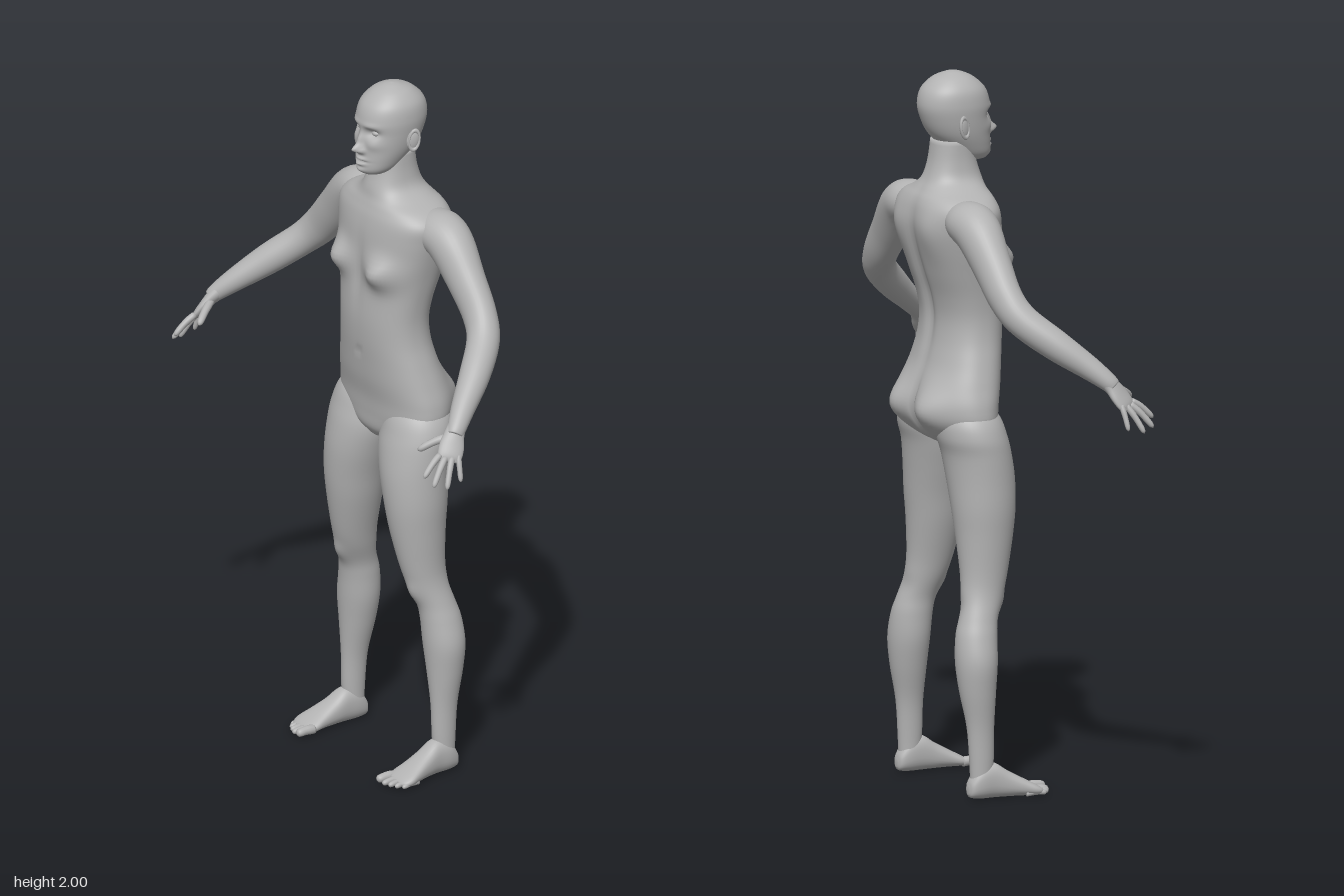
import * as THREE from 'three';

const V = (x, y, z) => new THREE.Vector3(x, y, z);
const UP = V(0, 1, 0), FORWARD = V(0, 0, 1);

// Smooth closed skin through sections [x, y, z, halfWidth, halfDepth].
// Depth follows ref; rings stay square to axis, or to the path if none is given.
function sweep(sections, { ref = FORWARD, axis, sides = 32, steps = 5, power = 1, bumps = [] } = {}) {
  const path = new THREE.CatmullRomCurve3(sections.map(s => V(s[0], s[1], s[2])), false, 'catmullrom');
  const size = new THREE.CatmullRomCurve3(sections.map(s => V(s[3], s[4], 0)), false, 'catmullrom');
  const rows = (sections.length - 1) * steps;
  const pos = [], index = [];
  const soft = c => Math.sign(c) * Math.abs(c) ** power;
  for (let i = 0; i <= rows; i++) {
    const t = i / rows, c = path.getPoint(t), r = size.getPoint(t);
    const dir = axis || path.getTangent(t);
    const n2 = ref.clone().addScaledVector(dir, -ref.dot(dir)).normalize();
    const n1 = dir.clone().cross(n2);
    for (let j = 0; j < sides; j++) {
      const a = j / sides * Math.PI * 2;
      const p = c.clone().addScaledVector(n1, r.x * soft(Math.cos(a))).addScaledVector(n2, r.y * soft(Math.sin(a)));
      const z0 = p.z;
      for (const b of bumps) p.z += bulge(p.x, p.y, z0 - c.z, b);
      pos.push(p.x, p.y, p.z);
      if (i < rows) {
        const k = i * sides + j, l = i * sides + (j + 1) % sides;
        index.push(k, k + sides, l, l, k + sides, l + sides);
      }
    }
  }
  // end caps
  const first = pos.length / 3, last = rows * sides;
  pos.push(...path.getPoint(0).toArray(), ...path.getPoint(1).toArray());
  for (let j = 0; j < sides; j++) {
    const k = (j + 1) % sides;
    index.push(first, j, k, first + 1, last + k, last + j);
  }
  const g = new THREE.BufferGeometry();
  g.setAttribute('position', new THREE.Float32BufferAttribute(pos, 3));
  g.setIndex(index);
  g.computeVertexNormals();
  return g;
}

// Soft swelling [x, y, radiusX, radiusY, amount, side]; side 1 is front, -1 is back
function bulge(x, y, dz, [bx, by, rx, ry, amount, side = 1]) {
  const fade = THREE.MathUtils.smoothstep(dz * side, 0, 0.06);
  return side * amount * fade * Math.exp(-(((x - bx) / rx) ** 2) - ((y - by) / ry) ** 2);
}
const pair = b => [b, [-b[0], ...b.slice(1)]];

// Upright sections [y, x, halfWidth, zFront, zBack]
const upright = rows => rows.map(([y, x, w, f, b]) => [x, y, (f + b) / 2, w, (f - b) / 2]);

// Finger or toe from a to b with a rounded tip and a slight arch
function digit(a, b, r, arch) {
  const at = (t, k) => [...V(...a).lerp(V(...b), t).addScaledVector(UP, arch * Math.sin(t * Math.PI)).toArray(), r * k, r * k];
  return sweep([at(0, 0.95), at(0.3, 1), at(0.55, 0.92), at(0.8, 0.88), at(0.94, 0.65), at(1, 0.1)],
    { ref: V(0.3, 1, 0.4).normalize(), sides: 12, steps: 3 });
}

function mirrored(g) {
  const m = g.clone().scale(-1, 1, 1), idx = m.index.array;
  for (let i = 0; i < idx.length; i += 3) [idx[i], idx[i + 1]] = [idx[i + 1], idx[i]];
  return m;
}

export function createModel() {
  const model = new THREE.Group();
  model.name = 'figure';
  const clay = new THREE.MeshStandardMaterial({ color: 0xb3b3b3 });
  clay.name = 'grey clay';

  const add = (name, g) => {
    const mesh = new THREE.Mesh(g, clay);
    mesh.name = name;
    model.add(mesh);
  };
  const addPair = (name, g) => {
    add('left ' + name, g);
    add('right ' + name, mirrored(g));
  };

  // Torso and neck, with chest, spine and seat modelled on
  add('torso', sweep(upright([
    [0.955, 0, 0.05, -0.02, -0.11], [0.985, 0, 0.13, 0, -0.155], [1.03, 0, 0.195, 0.005, -0.18],
    [1.08, 0, 0.2, 0.01, -0.19], [1.14, 0, 0.185, 0.022, -0.185], [1.2, 0, 0.168, 0.03, -0.17],
    [1.26, 0, 0.153, 0.037, -0.157], [1.32, 0, 0.148, 0.04, -0.153], [1.38, 0, 0.153, 0.038, -0.163],
    [1.45, 0, 0.165, 0.033, -0.185], [1.52, 0, 0.18, 0.032, -0.203], [1.58, 0, 0.192, 0.028, -0.212],
    [1.625, 0, 0.195, 0.02, -0.208], [1.655, 0, 0.165, 0.01, -0.198], [1.678, 0, 0.11, 0.002, -0.182],
    [1.705, 0, 0.075, -0.004, -0.165], [1.75, 0, 0.063, -0.018, -0.15], [1.81, 0, 0.06, -0.03, -0.14],
  ]), {
    axis: UP, sides: 96, power: 0.88, bumps: [
      ...pair([0.092, 1.478, 0.047, 0.042, 0.04]),
      ...pair([0.085, 1.065, 0.068, 0.07, 0.048, -1]),
      ...pair([0.09, 1.57, 0.05, 0.07, 0.012, -1]),
      [0, 1.06, 0.012, 0.06, -0.022, -1],
      [0, 1.4, 0.022, 0.2, -0.014, -1],
      [0, 1.47, 0.018, 0.09, -0.006],
      [0, 1.22, 0.008, 0.01, -0.006],
    ],
  }));

  // Head, with brow, sockets, nose, lips and chin
  add('head', sweep(upright([
    [1.747, 0, 0.02, 0.005, -0.04], [1.753, 0, 0.037, 0.018, -0.065], [1.768, 0, 0.052, 0.027, -0.09],
    [1.795, 0, 0.064, 0.027, -0.12], [1.83, 0, 0.075, 0.025, -0.153], [1.87, 0, 0.082, 0.023, -0.173],
    [1.91, 0, 0.085, 0.023, -0.182], [1.95, 0, 0.078, 0.009, -0.172], [1.98, 0, 0.054, -0.023, -0.142],
    [1.995, 0, 0.025, -0.055, -0.107], [2, 0, 0.003, -0.078, -0.084],
  ]), {
    axis: UP, sides: 128, steps: 9, power: 0.95, bumps: [
      [0, 1.829, 0.012, 0.012, 0.024], [0, 1.85, 0.009, 0.025, 0.012],
      ...pair([0.013, 1.823, 0.008, 0.007, 0.008]),
      ...pair([0.034, 1.878, 0.02, 0.013, -0.015]), ...pair([0.032, 1.9, 0.024, 0.008, 0.004]),
      ...pair([0.045, 1.845, 0.02, 0.015, 0.005]),
      [0, 1.799, 0.02, 0.005, 0.009], [0, 1.784, 0.017, 0.005, 0.01], [0, 1.792, 0.022, 0.002, -0.006],
      [0, 1.764, 0.018, 0.01, 0.007],
    ],
  }));
  addPair('eye', new THREE.SphereGeometry(0.012, 20, 14).scale(1.1, 0.75, 1).translate(0.034, 1.878, -0.004));
  addPair('ear', new THREE.SphereGeometry(1, 20, 14).scale(0.008, 0.029, 0.018)
    .rotateX(-0.15).rotateY(-0.35).translate(0.086, 1.853, -0.09));
  addPair('ear rim', new THREE.TorusGeometry(0.02, 0.0045, 8, 24).scale(0.75, 1.4, 1)
    .rotateY(Math.PI / 2 - 0.35).rotateX(-0.15).translate(0.091, 1.854, -0.091));

  // Arm from inside the chest to the wrist
  addPair('arm', sweep([
    [0.11, 1.6, -0.115, 0.045, 0.05], [0.165, 1.605, -0.118, 0.06, 0.068], [0.225, 1.583, -0.118, 0.066, 0.064],
    [0.3, 1.505, -0.115, 0.06, 0.052], [0.37, 1.428, -0.11, 0.053, 0.046], [0.422, 1.373, -0.085, 0.046, 0.046],
    [0.48, 1.31, -0.015, 0.043, 0.043], [0.53, 1.25, 0.06, 0.033, 0.034], [0.56, 1.212, 0.103, 0.025, 0.027],
    [0.57, 1.195, 0.118, 0.02, 0.024],
  ], { steps: 6 }));

  // Hand: palm, four fingers and thumb
  addPair('palm', sweep([
    [0.557, 1.216, 0.1, 0.022, 0.026], [0.567, 1.195, 0.118, 0.018, 0.029], [0.578, 1.17, 0.134, 0.015, 0.035],
    [0.588, 1.147, 0.148, 0.012, 0.034], [0.594, 1.134, 0.155, 0.005, 0.026],
  ], { ref: V(0.46, -0.1, -0.88).normalize(), sides: 24 }));
  [
    ['index finger', [0.575, 1.153, 0.172], [0.585, 1.102, 0.233], 0.0095],
    ['middle finger', [0.586, 1.146, 0.162], [0.612, 1.08, 0.22], 0.0095],
    ['ring finger', [0.595, 1.144, 0.146], [0.627, 1.07, 0.185], 0.009],
    ['little finger', [0.6, 1.148, 0.128], [0.625, 1.08, 0.137], 0.008],
    ['thumb', [0.558, 1.19, 0.128], [0.513, 1.152, 0.202], 0.0115],
  ].forEach(([name, a, b, r]) => addPair(name, digit(a, b, r, 0.005)));

  // Leg from ankle up into the hip
  addPair('leg', sweep(upright([
    [0.03, 0.212, 0.026, -0.075, -0.135], [0.1, 0.212, 0.028, -0.068, -0.138], [0.2, 0.21, 0.033, -0.066, -0.145],
    [0.3, 0.205, 0.05, -0.06, -0.163], [0.38, 0.2, 0.061, -0.054, -0.171], [0.45, 0.191, 0.056, -0.05, -0.166],
    [0.5, 0.182, 0.05, -0.042, -0.153], [0.56, 0.167, 0.051, -0.018, -0.14], [0.62, 0.158, 0.057, 0, -0.136],
    [0.72, 0.147, 0.073, 0.02, -0.142], [0.8, 0.14, 0.085, 0.03, -0.15], [0.88, 0.128, 0.097, 0.032, -0.157],
    [0.95, 0.118, 0.107, 0.024, -0.165], [1.0, 0.115, 0.108, 0.012, -0.178], [1.05, 0.11, 0.095, -0.005, -0.175],
    [1.1, 0.1, 0.06, -0.04, -0.14],
  ]), {
    axis: UP, sides: 40, bumps: [[0.172, 0.535, 0.025, 0.03, 0.009], [0.165, 0.53, 0.03, 0.03, -0.005, -1]],
  }));

  // Foot from heel to ball, then toes
  addPair('foot', sweep([
    [0.212, 0.024, -0.145, 0.008, 0.01], [0.212, 0.03, -0.137, 0.022, 0.026], [0.213, 0.045, -0.11, 0.03, 0.045],
    [0.214, 0.049, -0.07, 0.032, 0.049], [0.217, 0.037, -0.03, 0.036, 0.037], [0.221, 0.026, 0.01, 0.042, 0.026],
    [0.223, 0.018, 0.04, 0.047, 0.018], [0.222, 0.013, 0.06, 0.043, 0.012], [0.22, 0.012, 0.07, 0.03, 0.005],
  ], { ref: UP, axis: FORWARD, power: 0.85 }));
  [[0.188, 0.105, 0.0135], [0.211, 0.103, 0.0095], [0.23, 0.096, 0.009], [0.247, 0.086, 0.0085], [0.262, 0.072, 0.008]]
    .forEach(([x, tip, r], i) => addPair('toe ' + (i + 1), digit([x - i * 0.002, r, tip - 0.058], [x, r * 0.95, tip], r, 0.003)));

  return model;
}
